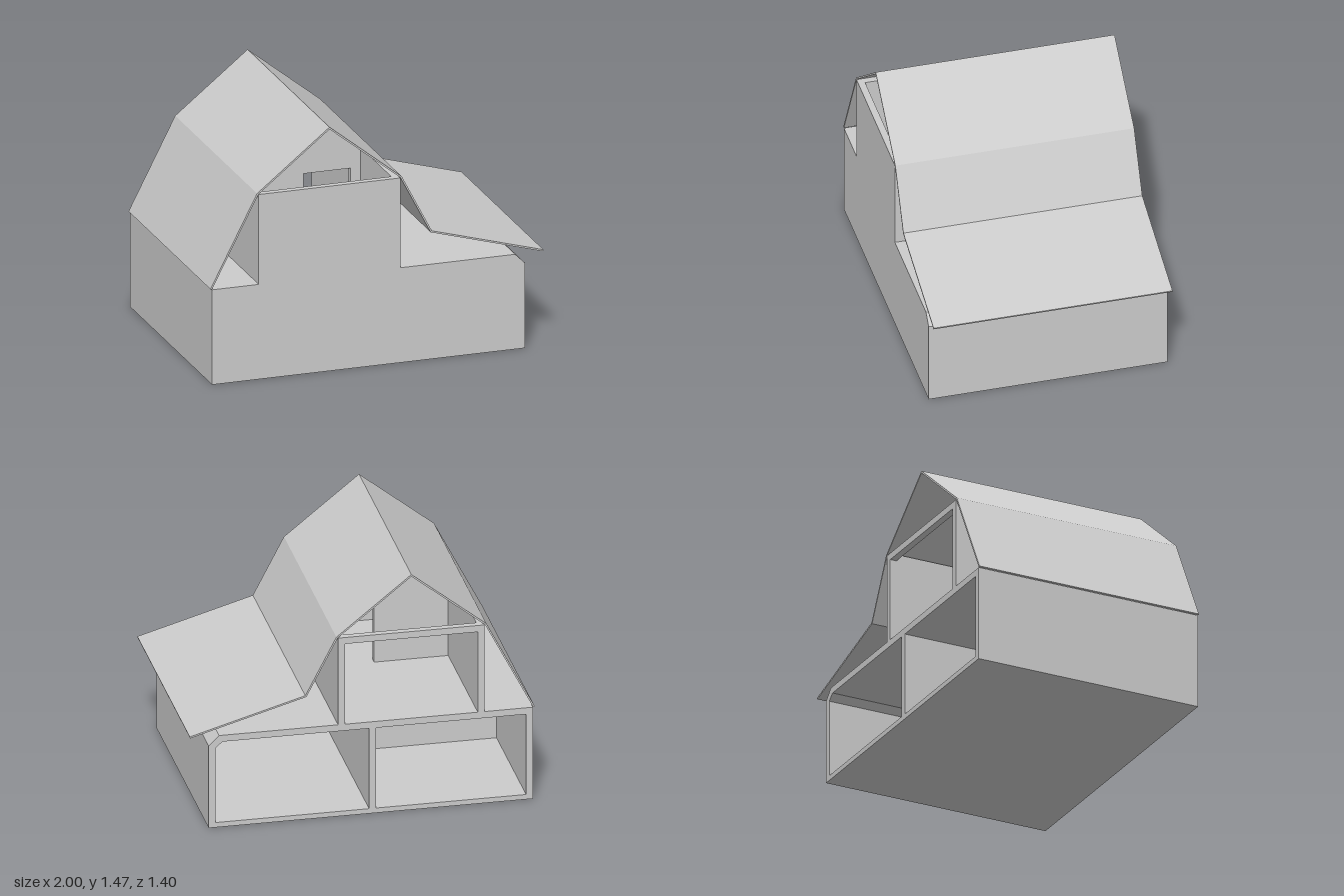
import * as THREE from 'three';

const material = new THREE.MeshStandardMaterial({ color: 0xcccccc, flatShading: true });
const toPoints = (list) => list.map(([x, y]) => new THREE.Vector2(x, y));

// Extrudes an outline in x/y from z0 to z1, with optional holes.
function slab(name, outline, z0, z1, holes = []) {
  const shape = new THREE.Shape(toPoints(outline));
  for (const hole of holes) shape.holes.push(new THREE.Path(toPoints(hole)));
  const geometry = new THREE.ExtrudeGeometry(shape, { depth: z1 - z0, bevelEnabled: false });
  geometry.translate(0, 0, z0);
  const mesh = new THREE.Mesh(geometry, material);
  mesh.name = name;
  return mesh;
}

const rect = (x0, x1, y0, y1) => [[x0, y0], [x1, y0], [x1, y1], [x0, y1]];

// Gives a polyline a thickness on its lower side.
function ribbon(line, thickness) {
  const normal = (a, b) => {
    const dx = b[0] - a[0], dy = b[1] - a[1], l = Math.hypot(dx, dy);
    return new THREE.Vector2(dy / l, -dx / l);
  };
  const inner = line.map((p, i) => {
    const before = normal(line[Math.max(i - 1, 0)], line[Math.max(i, 1)]);
    const j = Math.min(i, line.length - 2);
    const after = normal(line[j], line[j + 1]);
    const mid = before.clone().add(after).normalize();
    const d = thickness / mid.dot(after);
    return [p[0] + mid.x * d, p[1] + mid.y * d];
  });
  return [...line, ...inner.reverse()];
}

export function createModel() {
  const house = new THREE.Group();
  house.name = 'house';
  const back = -0.7, front = 0.7, wall = 0.04;

  // Ground floor rooms with the upper side walls, open at the back
  house.add(slab('shell', [
    [-0.99, 0], [0.89, 0], [0.89, 0.51], [0.83, 0.57], [0.14, 0.57], [0.14, 1.11], [0.1, 1.11],
    [0.1, 0.57], [-0.67, 0.57], [-0.67, 1.11], [-0.71, 1.11], [-0.71, 0.57], [-0.99, 0.57],
  ], back, front - wall, [
    rect(-0.95, -0.08, 0.03, 0.53),
    [[-0.04, 0.03], [0.85, 0.03], [0.85, 0.495], [0.81, 0.53], [-0.04, 0.53]],
  ]));

  // Closed front wall
  house.add(slab('frontWall', [
    [-0.99, 0], [0.89, 0], [0.89, 0.51], [0.83, 0.57], [0.14, 0.57], [0.14, 1.11],
    [-0.71, 1.11], [-0.71, 0.57], [-0.99, 0.57],
  ], front - wall, front));

  // Beam across the open back of the upper room
  house.add(slab('backBeam', rect(-0.67, 0.1, 1.07, 1.11), back, back + wall));

  // Cross walls; the upper one reaches into the gable and has a doorway
  house.add(slab('lowerCrossWall', rect(-0.95, -0.08, 0.03, 0.53), 0.09, 0.13));
  house.add(slab('upperCrossWall', [
    [-0.67, 0.57], [-0.24, 0.57], [-0.24, 0.99], [0.04, 0.99], [0.04, 0.57], [0.1, 0.57],
    [0.1, 1.145], [-0.285, 1.45], [-0.67, 1.145],
  ], 0.09, 0.13));

  // Thin folded roof, running out over the lower side
  house.add(slab('roof', ribbon([
    [-1, 0.575], [-0.72, 1.117], [-0.285, 1.465], [0.15, 1.117], [0.33, 0.77], [1, 0.578],
  ], 0.01), back, front));

  return house;
}
